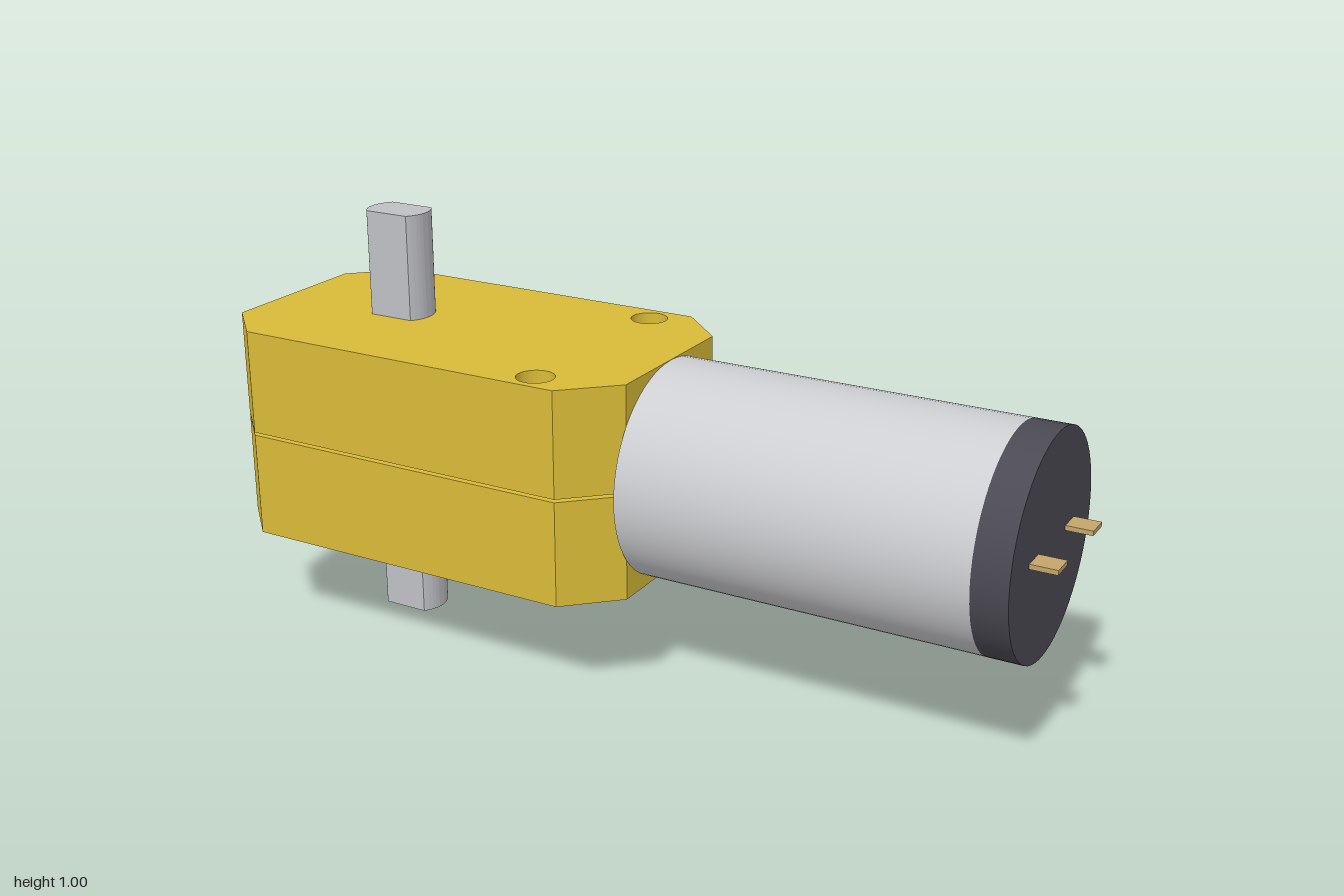
import * as THREE from 'three';
import { toCreasedNormals } from 'three/addons/utils/BufferGeometryUtils.js';

const material = (name, color) => {
  const m = new THREE.MeshStandardMaterial({ color });
  m.name = name;
  return m;
};

export function createModel() {
  const yellow = material('yellow plastic', 0xd9bb38);
  const steel = material('motor steel', 0xcdced1);
  const shaftGrey = material('shaft grey', 0xbfc0c4);
  const dark = material('dark cap', 0x4b4a53);
  const brass = material('brass', 0xc4a46c);

  const group = new THREE.Group();
  group.name = 'gearMotor';
  const add = (name, geometry, mat, x = 0, y = 0, z = 0) => {
    const mesh = new THREE.Mesh(geometry, mat);
    mesh.name = name;
    mesh.position.set(x, y, z);
    group.add(mesh);
    return mesh;
  };

  // Extrude a plan outline upwards from y = 0
  const extrudeUp = (shape, height) => {
    const g = new THREE.ExtrudeGeometry(shape, { depth: height, bevelEnabled: false, curveSegments: 32 });
    g.rotateX(-Math.PI / 2);
    return toCreasedNormals(g, 0.5);
  };

  // Gearbox: two chamfered halves with a narrow seam and two through holes
  const outline = new THREE.Shape([
    [-1, -0.195], [-0.89, -0.305], [-0.06, -0.305], [0.055, -0.195],
    [0.055, 0.195], [-0.06, 0.305], [-0.89, 0.305], [-1, 0.195],
  ].map(([x, z]) => new THREE.Vector2(x, z)));
  for (const z of [-0.245, 0.245]) {
    const hole = new THREE.Path();
    hole.absarc(-0.14, z, 0.043, 0, Math.PI * 2, true);
    outline.holes.push(hole);
  }
  add('gearboxLowerHalf', extrudeUp(outline, 0.247), yellow, 0, 0.25);
  add('gearboxUpperHalf', extrudeUp(outline, 0.247), yellow, 0, 0.504);

  // Output shaft: round with two flats, passing through the gearbox
  const r = 0.075;
  const a = Math.asin(0.05 / r);
  const section = new THREE.Shape();
  section.absarc(0, 0, r, -a, a, false);
  section.absarc(0, 0, r, Math.PI - a, Math.PI + a, false);
  section.closePath();
  add('outputShaft', extrudeUp(section, 1), shaftGrey, -0.67);

  // Motor can and end cap, lying along x
  const drum = (x0, x1) => new THREE.CylinderGeometry(0.25, 0.25, x1 - x0, 64)
    .rotateZ(-Math.PI / 2).translate((x0 + x1) / 2, 0.5, 0);
  add('motorCan', drum(0.055, 0.86), steel);
  add('motorEndCap', drum(0.86, 0.94), dark);

  // Terminal tabs
  for (const [name, z] of [['leftTerminal', -0.111], ['rightTerminal', 0.111]]) {
    add(name, new THREE.BoxGeometry(0.07, 0.011, 0.056), brass, 0.965, 0.508, z);
  }
  return group;
}
